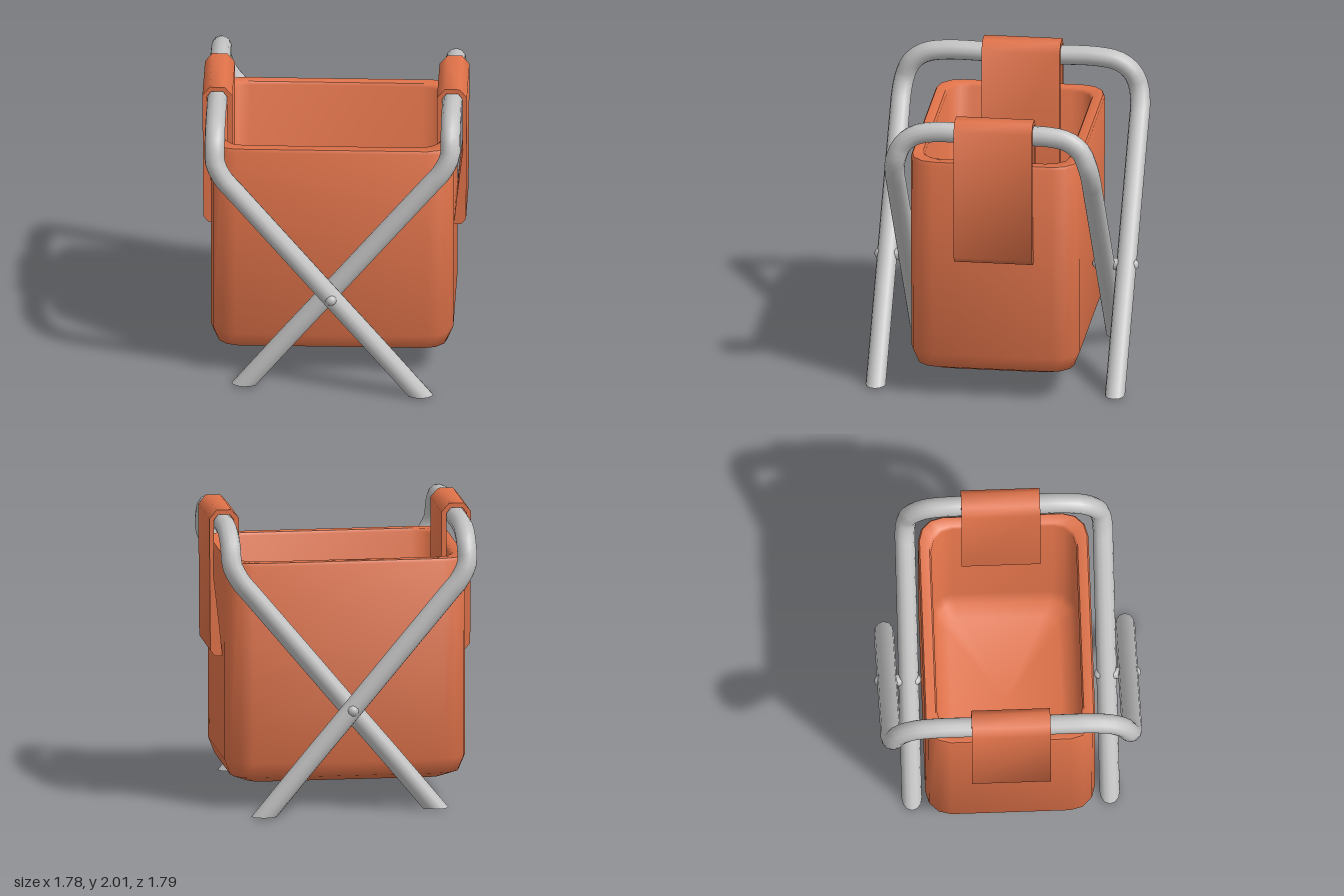
import * as THREE from 'three';
import { toCreasedNormals } from 'three/addons/utils/BufferGeometryUtils.js';

const fabric = new THREE.MeshStandardMaterial({ color: 0xdf7249 });
fabric.name = 'orange fabric';
const metal = new THREE.MeshStandardMaterial({ color: 0xc2c2c2 });
metal.name = 'grey metal';

const TUBE_R = 0.068;

function addMesh(parent, name, geometry, material) {
  const mesh = new THREE.Mesh(geometry, material);
  mesh.name = name;
  parent.add(mesh);
  return mesh;
}

// Horizontal rounded rectangle, four points per corner
function roundedRing(hw, hd, r, y) {
  const points = [];
  const corners = [[1, 1], [-1, 1], [-1, -1], [1, -1]];
  corners.forEach(([sx, sz], c) => {
    for (let k = 0; k < 4; k++) {
      const a = (c + k / 3) * Math.PI / 2;
      points.push([sx * (hw - r) + r * Math.cos(a), y, sz * (hd - r) + r * Math.sin(a)]);
    }
  });
  return points;
}

// Skin a stack of rings from the underside, over the rim, to the inner floor
function loft(rings) {
  const n = rings[0].length;
  const index = [];
  for (let j = 0; j < rings.length - 1; j++) {
    for (let i = 0; i < n; i++) {
      const a = j * n + i, b = j * n + (i + 1) % n;
      index.push(a, a + n, b, b, a + n, b + n);
    }
  }
  const geometry = new THREE.BufferGeometry();
  geometry.setAttribute('position', new THREE.Float32BufferAttribute(rings.flat(2), 3));
  geometry.setIndex(index);
  return toCreasedNormals(geometry, 1.0);
}

function makeBasket() {
  // half width, half depth, corner radius, height
  const sections = [
    [0, 0, 0, 0.17],
    [0.67, 0.43, 0.1, 0.17],
    [0.775, 0.53, 0.15, 0.215],
    [0.815, 0.57, 0.17, 0.32],
    [0.815, 0.573, 0.17, 1.67],
    [0.805, 0.562, 0.16, 1.69],
    [0.74, 0.498, 0.15, 1.69],
    [0.727, 0.487, 0.15, 1.67],
    [0.727, 0.487, 0.15, 0.4],
    [0.69, 0.45, 0.13, 0.3],
    [0.6, 0.37, 0.1, 0.26],
    [0, 0, 0, 0.26],
  ];
  return loft(sections.map((s) => roundedRing(...s))).translate(-0.013, -0.007, -0.007);
}

// Folded loop of fabric that hangs over a top bar
function makeStrap(side, zCentre) {
  const profile = [
    [0.8, 1.0], [0.85, 1.0], [0.882, 1.04], [0.888, 1.94], [0.84, 2.0], [0.74, 2.0],
    [0.687, 1.94], [0.687, 1.0], [0.72, 1.0], [0.722, 1.93], [0.75, 1.968],
    [0.83, 1.968], [0.858, 1.93], [0.86, 1.55], [0.82, 1.2],
  ];
  const shape = new THREE.Shape(profile.map(([x, y]) => new THREE.Vector2(side * x, y)));
  const depth = 0.53;
  const geometry = new THREE.ExtrudeGeometry(shape, { depth, bevelEnabled: false });
  return toCreasedNormals(geometry.translate(0, 0, zCentre - depth / 2), 0.9);
}

// Bent tube: foot, leg, top bar, leg, foot. The bar lies on the given side.
function makeFrame(side, z) {
  const half = [
    [0.79, 1.9, 0.2], [0.79, 1.9, z - 0.29], [0.79, 1.872, z - 0.15], [0.79, 1.8, z - 0.06],
    [0.785, 1.69, z - 0.015], [0.73, 1.58, z], [0.66, 1.496, z], [0.33, 1.102, z],
    [0, 0.707, z], [-0.3, 0.35, z], [-0.59, 0, z],
  ].map(([x, y, d]) => new THREE.Vector3(side * x, y, d));
  const mirrored = half.map((p) => new THREE.Vector3(p.x, p.y, -p.z));
  const curve = new THREE.CatmullRomCurve3([...mirrored.reverse(), ...half], false, 'centripetal');
  const segments = 130, sides = 12;
  const geometry = new THREE.TubeGeometry(curve, segments, TUBE_R, sides);

  // Slide the end rings along the leg so the feet are cut level with the ground
  const pos = geometry.attributes.position;
  const slope = -side * 0.59 / 0.707;
  for (const ring of [0, segments]) {
    for (let i = 0; i <= sides; i++) {
      const v = ring * (sides + 1) + i;
      pos.setX(v, pos.getX(v) + slope * pos.getY(v));
      pos.setY(v, 0);
    }
  }
  return geometry;
}

export function createModel() {
  const model = new THREE.Group();
  model.name = 'foldingBasket';

  addMesh(model, 'basket', makeBasket(), fabric);
  addMesh(model, 'leftStrap', makeStrap(1, -0.02), fabric);
  addMesh(model, 'rightStrap', makeStrap(-1, -0.005), fabric);

  // Outer frame hangs the right side, the narrower inner frame the left
  const frames = [['outerFrame', -1, 0.81], ['innerFrame', 1, 0.665]];
  for (const [name, side, z] of frames) {
    const frame = new THREE.Group();
    frame.name = name;
    model.add(frame);
    addMesh(frame, 'bentTube', makeFrame(side, z), metal);
    for (const end of [1, -1]) {
      const foot = addMesh(frame, 'footCap', new THREE.CircleGeometry(TUBE_R, 16), metal);
      foot.rotation.x = Math.PI / 2;
      foot.scale.x = 1.3;
      foot.position.set(-side * 0.59, 0, end * z);
    }
  }

  // Pivot pins through the leg crossings
  for (const end of [1, -1]) {
    const pin = addMesh(model, 'pivotPin', new THREE.CapsuleGeometry(0.04, 0.235, 4, 12), metal);
    pin.rotation.x = Math.PI / 2;
    pin.position.set(-0.005, 0.715, end * 0.738);
  }
  return model;
}
